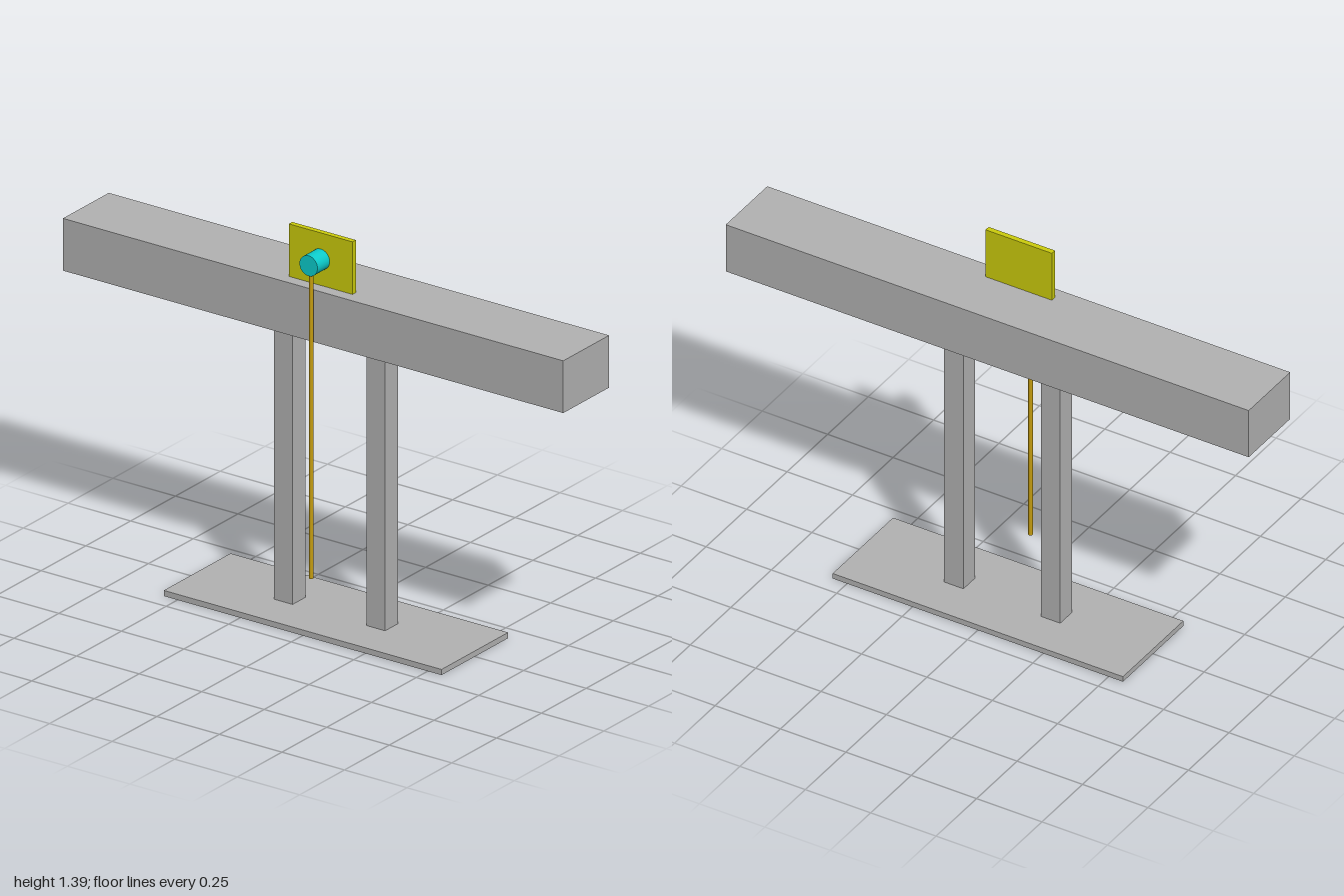
import * as THREE from 'three';

const paint = (name, color) => {
  const m = new THREE.MeshStandardMaterial({ color });
  m.name = name;
  return m;
};

export function createModel() {
  const grey = paint('grey', 0xb2b2b2);
  const yellow = paint('yellow', 0xcccc0c);
  const cyan = paint('cyan', 0x0ccccc);
  const amber = paint('amber', 0xc49c10);

  const model = new THREE.Group();
  model.name = 'balanceStand';

  const add = (name, geometry, material, x, y, z) => {
    const mesh = new THREE.Mesh(geometry, material);
    mesh.name = name;
    mesh.position.set(x, y, z);
    model.add(mesh);
    return mesh;
  };
  const box = (w, h, d) => new THREE.BoxGeometry(w, h, d);

  // Floor plate, two posts and the long beam
  add('basePlate', box(1.11, 0.02, 0.372), grey, 0, 0.01, 0);
  for (const [name, side] of [['leftPost', 1], ['rightPost', -1]]) {
    add(name, box(0.074, 1.0, 0.072), grey, side * 0.185, 1.02 - 0.5, 0);
  }
  add('beam', box(2, 0.185, 0.256), grey, 0, 1.1125, 0);

  // Upright mounting plate on top of the beam
  add('mountingPlate', box(0.254, 0.186, 0.019), yellow, 0, 1.298, 0.076);

  // Pivot hub pointing forward, with the rod hanging from it
  const hub = new THREE.CylinderGeometry(0.036, 0.036, 0.068, 32).rotateX(Math.PI / 2);
  add('pivotHub', hub, cyan, 0, 1.298, 0.1195);
  add('hangingRod', new THREE.CylinderGeometry(0.0075, 0.0075, 1.1, 20), amber, 0, 0.737, 0.139);

  return model;
}
